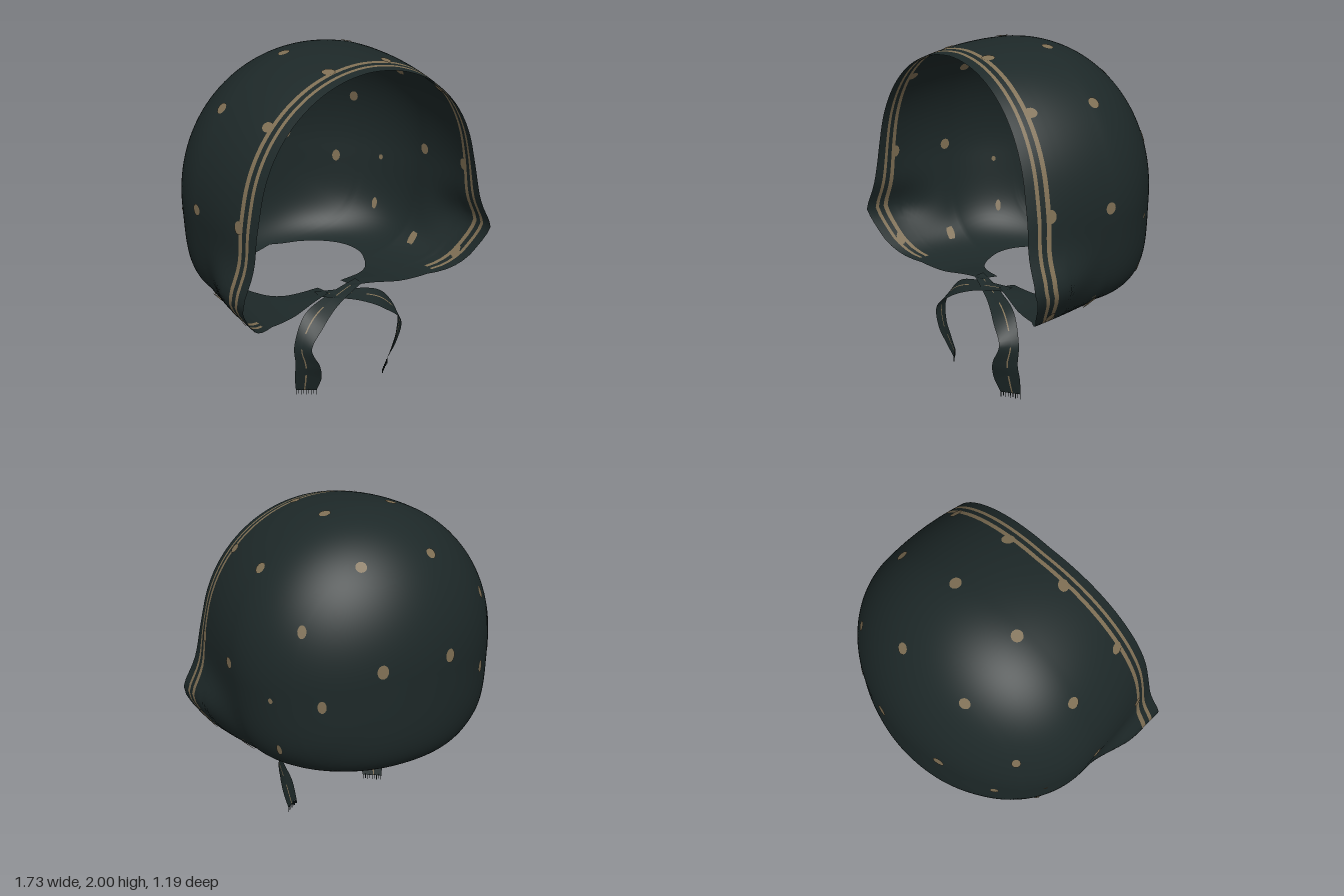
import * as THREE from 'three';
import { mergeVertices } from 'three/addons/utils/BufferGeometryUtils.js';

const { lerp, smoothstep } = THREE.MathUtils;
const CY = 1.2; // height of the bonnet's axis
const HALF_W = 0.803, TOP = 0.8, DROP = 0.633; // half width, and reach above and below the axis

// Piecewise linear lookup in [key, value] pairs
function lookup(table, k) {
  for (let i = 1; i < table.length; i++) {
    if (k <= table[i][0]) {
      const [a, b] = [table[i - 1], table[i]];
      return lerp(a[1], b[1], (k - a[0]) / (b[0] - a[0]));
    }
  }
  return table[table.length - 1][1];
}

// Depth of the face opening by angle from the crown, in degrees
const RIM = [[0, 0.525], [45, 0.545], [90, 0.57], [112, 0.6], [124, 0.53], [132, 0.46], [138, 0.4], [172, 0.28], [180, 0.27]];

// Cloth surface: a runs around the face, v goes from rim (0) past the ears (1) to the back (2).
// The body is round in plan; below the axis its lower edge is squarer, most of all at the cheeks.
function cloth(a, v) {
  const c = Math.cos(a), s = Math.sin(a);
  const square = lerp(4, 1.8, Math.min(1, v));
  const n = 2.08 + square * smoothstep(-c, 0, 0.65) + 0.7 * smoothstep(-c, 0.6, 1);
  const sx = s / HALF_W, sy = Math.abs(c) / (c > 0 ? TOP : DROP);
  let r = (Math.abs(sx) ** n + sy ** n) ** (-1 / n);
  const mid = 0.04 + 0.04 * c;
  let z;
  if (v <= 1) {
    z = lerp(lookup(RIM, Math.abs(a) * 180 / Math.PI), mid, v);
    // the opening draws in above the cheeks
    r -= 0.055 * smoothstep(c, -0.4, 0.25) * Math.max(0, (z - 0.1) / 0.43) ** 2;
  } else {
    const f = Math.min(1, v - 1) * Math.PI / 2;
    const k = Math.cos(f), dz = Math.sin(f);
    const q = (((sx * r * k) ** 2 + dz * dz) ** (n / 2) + Math.abs(sy * r * k) ** n) ** (-1 / n);
    r *= q * k;
    z = mid - (0.595 + mid) * q * dz;
  }
  const y = CY + r * c;
  // cheeks flare outward near the rim, and the flaps rise a little towards the knot
  const flare = 0.07 * Math.exp(-(((y - 0.86) / 0.13) ** 2)) * smoothstep(z, 0.08, 0.42);
  const lift = 0.026 * smoothstep(-c, 0.84, 0.98) * smoothstep(z, 0, 0.28);
  return new THREE.Vector3(r * s + Math.sign(s) * flare, y + lift, z);
}

// Half width of the neck opening at a depth; two flaps close it towards the front
function neckHalf(z) {
  const e = 1 - ((z + 0.13) / 0.3) ** 2;
  const hole = e > 0 ? 0.44 * Math.sqrt(e) : 0;
  return z > 0 ? Math.max(0.08, hole) : hole;
}

// Sheet through a grid of points; band(row, column) picks the material
function sheet(grid, band) {
  const pos = grid.flat().flatMap(p => [p.x, p.y, p.z]);
  const w = grid[0].length, lists = [[], []];
  for (let i = 0; i < grid.length - 1; i++) {
    for (let j = 0; j < w - 1; j++) {
      const a = i * w + j, b = a + w;
      lists[band(i, j)].push(a, a + 1, b, a + 1, b + 1, b);
    }
  }
  const geo = new THREE.BufferGeometry();
  geo.setAttribute('position', new THREE.Float32BufferAttribute(pos, 3));
  geo.setIndex([...lists[0], ...lists[1]]);
  geo.addGroup(0, lists[0].length, 0);
  geo.addGroup(lists[0].length, lists[1].length, 1);
  const merged = mergeVertices(geo, 1e-5);
  merged.computeVertexNormals();
  return merged;
}

export function createModel() {
  const model = new THREE.Group();
  const dark = new THREE.MeshStandardMaterial({ color: 0x1d2828, side: THREE.DoubleSide });
  dark.name = 'dark green cloth';
  const tan = new THREE.MeshStandardMaterial({ color: 0x7f6f54, side: THREE.DoubleSide });
  tan.name = 'tan print';
  const add = (name, geo, mat, parent = model) => {
    const m = new THREE.Mesh(geo, mat);
    m.name = name;
    parent.add(m);
    return m;
  };

  // Bonnet shell with two stripes along the rim, ending under the cheeks
  const rows = [0, 0.05, 0.105, 0.145, 0.2, 0.25];
  for (let i = 1; i <= 24; i++) rows.push(0.25 + 0.75 * i / 24);
  for (let i = 1; i <= 56; i++) rows.push(1 + i / 56);
  const COLS = 120;
  const grid = rows.map(v => {
    const under = cloth(Math.PI, v);
    const end = Math.PI - Math.atan2(neckHalf(under.z), CY - under.y);
    return Array.from({ length: COLS + 1 }, (_, j) => cloth(lerp(-end, end, j / COLS), v));
  });
  const striped = (i, j) => (i === 2 || i === 4) && Math.abs(2 * (j + 0.5) / COLS - 1) < 0.78;
  add('bonnetShell', sheet(grid, (i, j) => (striped(i, j) ? 1 : 0)), [dark, tan]);

  // Printed dots, on both faces of the cloth: x, y, z, width, height
  const dots = new THREE.Group();
  dots.name = 'dots';
  model.add(dots);
  const spots = [
    [0.21, 1.97, 0.035, 1, 1], [0.61, 1.74, 0.03, 1, 1], [0.8, 1.22, 0.07, 0.95, 1],
    [0.69, 0.67, 0.11, 0.75, 1.9], [0.22, 1.79, -0.36, 0.95, 0.95], [0.58, 1.5, -0.35, 0.75, 1.1],
    [0.215, 1.27, -0.57, 1, 1.2], [0.51, 1.09, -0.43, 0.75, 1.1], [0.74, 1.09, -0.26, 0.4, 0.5],
    [0.69, 0.78, -0.26, 0.5, 1.1],
    [0.19, 1.95, 0.41, 1.1, 0.9], [0.56, 1.72, 0.415, 1.1, 0.9], [0.79, 1.24, 0.44, 0.9, 1.1], [0.74, 0.69, 0.43, 0.8, 1.3],
  ];
  const disc = new THREE.CircleGeometry(0.033, 14);
  for (const side of [-1, 1]) {
    for (const [x, y, z, w, h] of spots) {
      const target = new THREE.Vector3(side * x, y, z);
      const a = Math.atan2(side * x, y - CY);
      let best = 0, near = Infinity;
      for (let v = 0.01; v < 1.98; v += 0.01) {
        const d = cloth(a, v).distanceTo(target);
        if (d < near) { near = d; best = v; }
      }
      const p = cloth(a, best);
      const du = cloth(a + 0.02, best).sub(cloth(a - 0.02, best));
      const dv = cloth(a, best + 0.02).sub(cloth(a, best - 0.02));
      const n = du.cross(dv).normalize();
      for (const out of [-0.004, 0.004]) {
        const m = add('dot', disc, tan, dots);
        m.position.copy(p).addScaledVector(n, out);
        m.lookAt(m.position.clone().addScaledVector(n, Math.sign(out)));
        m.scale.set(w, h, 1);
      }
    }
  }

  // Chin ties: centre of the ribbon and half its width
  const path = [
    [-0.15, 0.597, 0.26], [-0.05, 0.578, 0.28], [0.1, 0.548, 0.32], [0.25, 0.487, 0.365],
    [0.35, 0.36, 0.40], [0.325, 0.24, 0.41], [0.305, 0.14, 0.385], [0.293, 0.03, 0.35],
  ];
  const across = [
    [0, 0.004, -0.03], [0.01, 0.008, -0.035], [0.015, 0.02, -0.04], [0.03, 0.028, -0.05],
    [0.025, 0, -0.05], [0.045, -0.005, -0.055], [0.058, 0, -0.05], [0.048, 0, -0.036],
  ];
  const curve = list => new THREE.CatmullRomCurve3(list.map(p => new THREE.Vector3(...p)));
  const centre = curve(path), width = curve(across);
  const thread = new THREE.BoxGeometry(0.003, 0.03, 0.003);
  for (const side of [-1, 1]) {
    const tie = new THREE.Group();
    tie.name = side > 0 ? 'leftTie' : 'rightTie';
    model.add(tie);
    const lift = side > 0 ? 0 : 0.03;
    const at = (t, k) => {
      const p = centre.getPoint(t).addScaledVector(width.getPoint(t), k);
      p.y += lift * t;
      p.x *= side;
      return p;
    };
    const strip = Array.from({ length: 49 }, (_, i) => [-1, -0.5, 0.1, 0.22, 0.6, 1].map(k => at(i / 48, k)));
    add('ribbon', sheet(strip, (i, j) => (j === 2 && i % 12 > 3 ? 1 : 0)), [dark, tan], tie);
    // frayed end
    for (let i = 0; i < 9; i++) {
      const m = add('fringe', thread, dark, tie);
      m.position.copy(at(1, -0.96 + i * 0.24));
      m.position.y -= i % 2 ? 0.008 : 0.015;
    }
  }
  return model;
}
